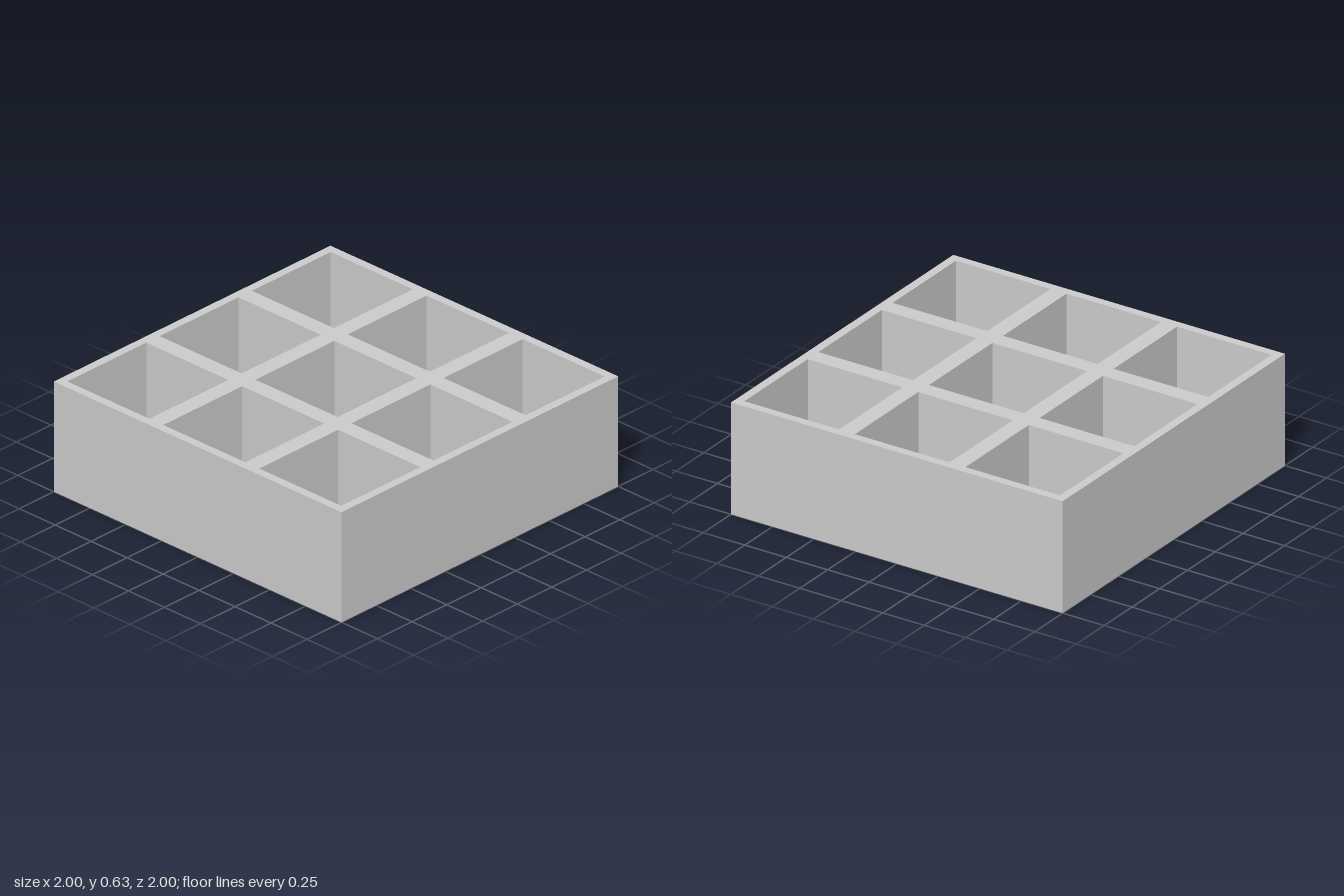
import * as THREE from 'three';

const CELL = 2 / 3, HEIGHT = 0.626, WALL = 0.048, FLOOR = 0.048;

// Closed square outline centred on the origin
function square(Path, size) {
  const h = size / 2;
  return new Path([[-h, -h], [h, -h], [h, h], [-h, h]].map(([x, y]) => new THREE.Vector2(x, y)));
}

export function createModel() {
  const model = new THREE.Group();
  model.name = 'compartmentTray';
  const material = new THREE.MeshStandardMaterial({ color: 0xcccccc, flatShading: true });

  // Four walls of a compartment, extruded upwards from the floor
  const outline = square(THREE.Shape, CELL);
  outline.holes.push(square(THREE.Path, CELL - 2 * WALL));
  const wallGeometry = new THREE.ExtrudeGeometry(outline, { depth: HEIGHT - FLOOR, bevelEnabled: false });
  wallGeometry.rotateX(-Math.PI / 2).translate(0, FLOOR, 0);

  // Floor plate
  const floorGeometry = new THREE.BoxGeometry(CELL, FLOOR, CELL).translate(0, FLOOR / 2, 0);

  // Three by three compartments, side by side
  for (let row = -1; row <= 1; row++) {
    for (let column = -1; column <= 1; column++) {
      const compartment = new THREE.Group();
      compartment.name = 'compartment';
      const walls = new THREE.Mesh(wallGeometry, material);
      walls.name = 'walls';
      const floor = new THREE.Mesh(floorGeometry, material);
      floor.name = 'floor';
      compartment.add(walls, floor);
      compartment.position.set(column * CELL, 0, row * CELL);
      model.add(compartment);
    }
  }
  return model;
}
